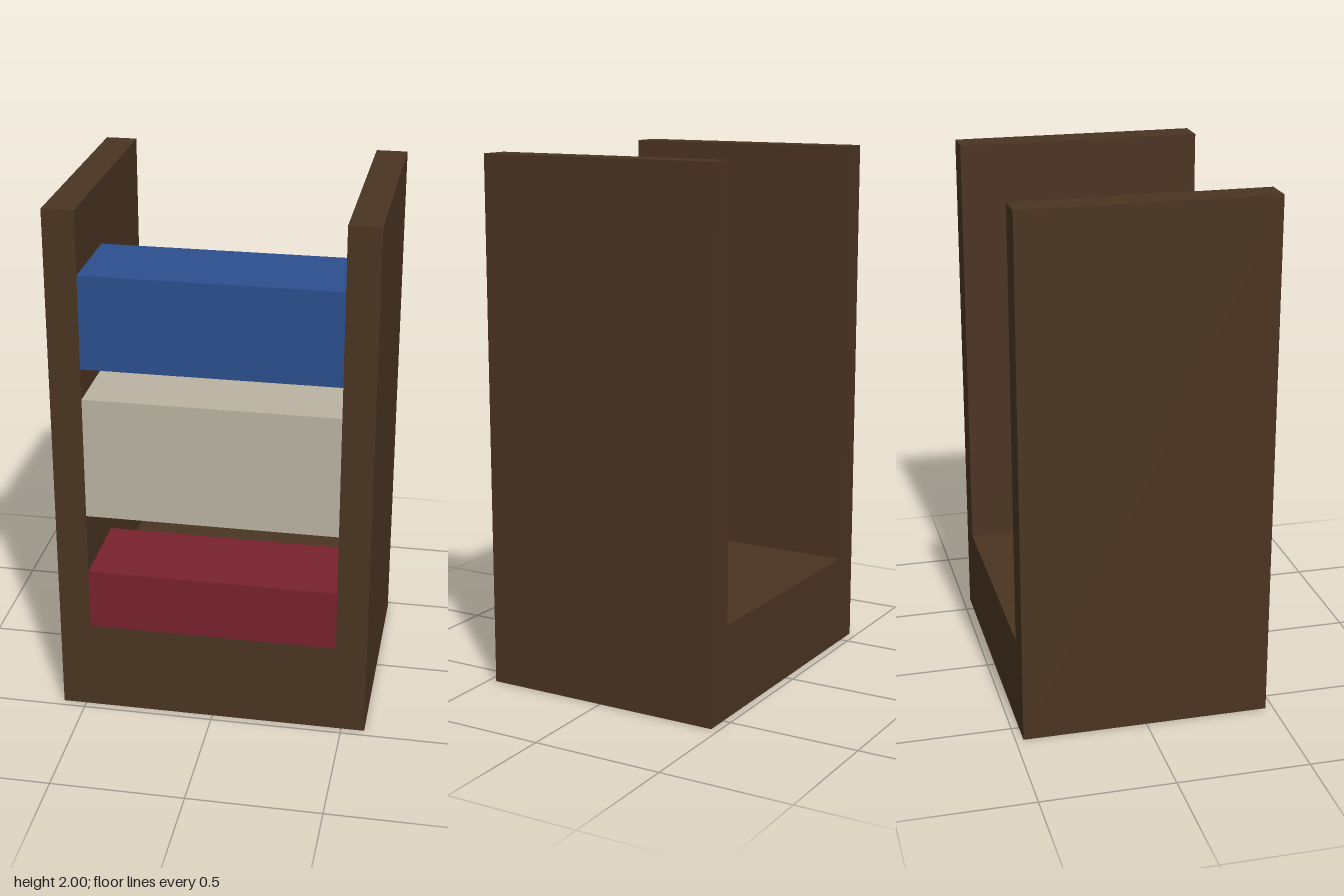
import * as THREE from 'three';

const U = 2 / 17; // one module of the design grid

export function createModel() {
  const model = new THREE.Group();
  const material = (name, color) => {
    const m = new THREE.MeshStandardMaterial({ color });
    m.name = name;
    return m;
  };
  const add = (name, geometry, mat) => {
    const mesh = new THREE.Mesh(geometry, mat);
    mesh.name = name;
    model.add(mesh);
    return mesh;
  };

  // U-shaped frame: thick base with two upright side walls
  const outline = [[-5, 0], [5, 0], [5, 17], [4, 17], [4, 3], [-4, 3], [-4, 17], [-5, 17]];
  const shape = new THREE.Shape(outline.map(([x, y]) => new THREE.Vector2(x * U, y * U)));
  const frame = new THREE.ExtrudeGeometry(shape, { depth: 8 * U, bevelEnabled: false });
  frame.translate(0, 0, -4 * U);
  add('frame', frame, material('dark wood', 0x4a3422));

  // Coloured bars spanning the walls at the front
  const bars = [
    ['lowerBar', 3, 5, material('deep red', 0x78222d)],
    ['middleBar', 7, 11, material('cream', 0xbab3a3)],
    ['upperBar', 12, 15, material('blue', 0x2c4f8e)],
  ];
  for (const [name, bottom, top, mat] of bars) {
    const bar = add(name, new THREE.BoxGeometry(8 * U, (top - bottom) * U, 3 * U), mat);
    bar.position.set(0, (bottom + top) / 2 * U, 2.5 * U);
  }
  return model;
}
